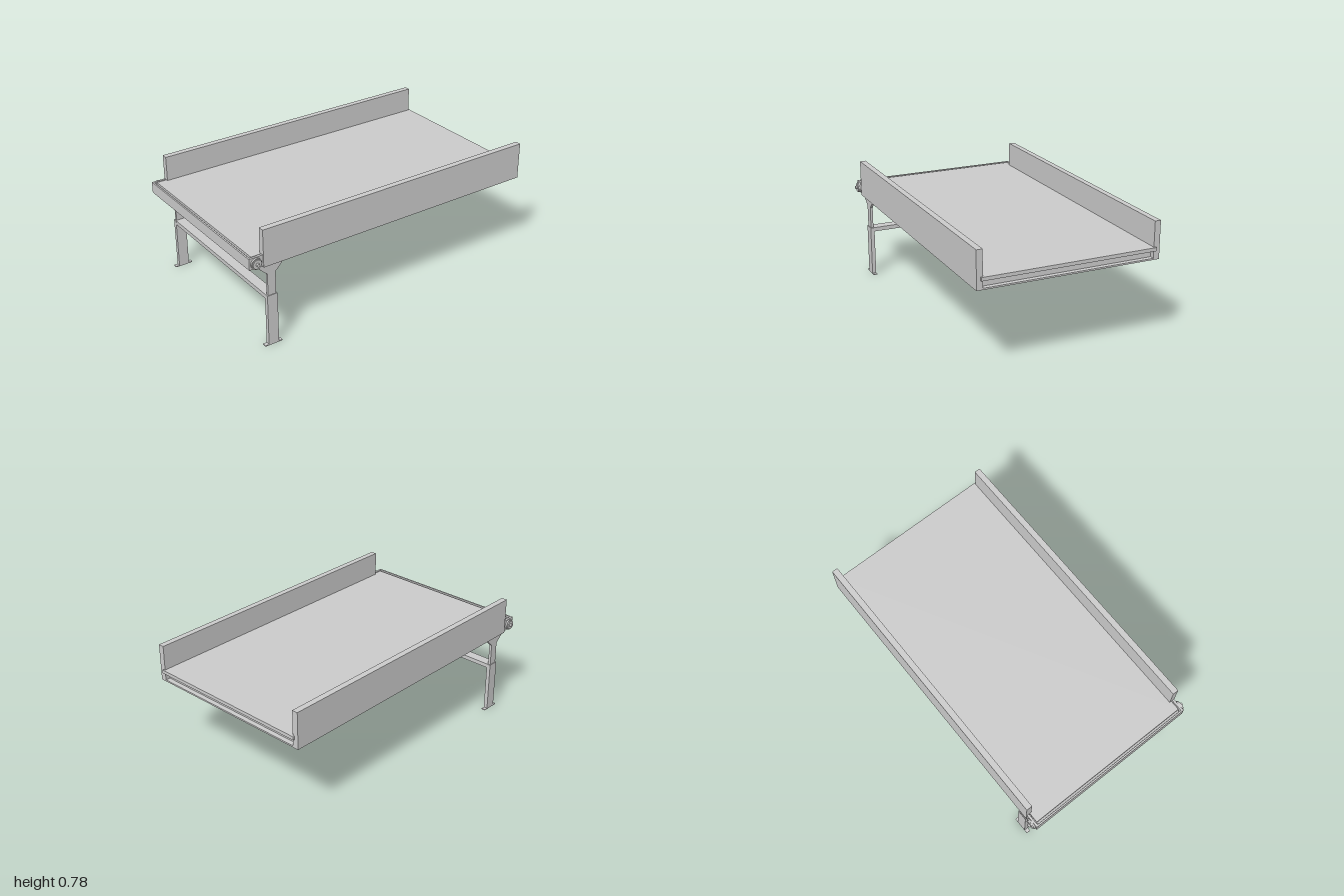
import * as THREE from 'three';

const material = new THREE.MeshStandardMaterial({ color: 0xcccccc });

// Box given by its minimum and maximum corners
function box(parent, name, x0, x1, y0, y1, z0, z1) {
  const mesh = new THREE.Mesh(new THREE.BoxGeometry(x1 - x0, y1 - y0, z1 - z0), material);
  mesh.position.set((x0 + x1) / 2, (y0 + y1) / 2, (z0 + z1) / 2);
  mesh.name = name;
  parent.add(mesh);
  return mesh;
}

// Cylinder lying along z
function disc(parent, name, x, y, z0, z1, radius) {
  const geometry = new THREE.CylinderGeometry(radius, radius, z1 - z0, 32);
  geometry.rotateX(Math.PI / 2);
  const mesh = new THREE.Mesh(geometry, material);
  mesh.position.set(x, y, (z0 + z1) / 2);
  mesh.name = name;
  parent.add(mesh);
}

// Outline in x and y, extruded along z
function plate(parent, name, points, z0, z1) {
  const shape = new THREE.Shape(points.map(([x, y]) => new THREE.Vector2(x, y)));
  const geometry = new THREE.ExtrudeGeometry(shape, { depth: z1 - z0, bevelEnabled: false });
  geometry.translate(0, 0, z0);
  const mesh = new THREE.Mesh(geometry, material);
  mesh.name = name;
  parent.add(mesh);
}

export function createModel() {
  const model = new THREE.Group();
  model.name = 'conveyorSection';

  // Bed: top sheet, recessed core and bottom sheet
  const bed = new THREE.Group();
  bed.name = 'bed';
  model.add(bed);
  box(bed, 'bedTop', -0.975, 1, 0.6, 0.622, -0.55, 0.55);
  box(bed, 'bedCore', -0.92, 0.96, 0.555, 0.6, -0.54, 0.54);
  box(bed, 'bedBottom', -0.92, 0.99, 0.545, 0.555, -0.55, 0.55);

  // End plate and roller behind it
  box(model, 'endPlate', -1, -0.99, 0.553, 0.624, -0.57, 0.57);
  disc(model, 'endRoller', -0.957, 0.586, -0.55, 0.55, 0.028);

  // Cross beam between the legs
  box(model, 'crossBeam', -0.878, -0.812, 0.306, 0.333, -0.53, 0.53);

  const cx = -0.845;
  for (const s of [1, -1]) {
    const side = new THREE.Group();
    side.name = s > 0 ? 'frontSide' : 'backSide';
    const span = (a, b) => (s > 0 ? [a, b] : [-b, -a]);
    model.add(side);

    // Side rail
    box(side, 'sideRail', -0.91, 0.99, 0.545, 0.78, ...span(0.537, 0.575));

    // Bearing bracket, hub and axle
    box(side, 'bearingBracket', -1, -0.9, 0.553, 0.624, ...span(0.556, 0.57));
    disc(side, 'bearingFlange', -0.957, 0.586, ...span(0.565, 0.581), 0.034);
    disc(side, 'bearingHub', -0.957, 0.586, ...span(0.575, 0.588), 0.028);
    disc(side, 'axle', -0.957, 0.586, ...span(0.575, 0.6), 0.01);

    // Upper leg flaring into its mounting head
    plate(side, 'upperLeg', [
      [cx - 0.027, 0.32], [cx + 0.027, 0.32], [cx + 0.027, 0.475], [cx + 0.07, 0.518],
      [cx + 0.07, 0.545], [cx - 0.075, 0.545], [cx - 0.075, 0.518], [cx - 0.027, 0.475],
    ], ...span(0.53, 0.547));

    // Lower leg sleeve and foot
    box(side, 'lowerLeg', cx - 0.034, cx + 0.034, 0, 0.333, ...span(0.525, 0.551));
    box(side, 'foot', cx - 0.058, cx + 0.058, 0, 0.006, ...span(0.525, 0.551));
  }
  return model;
}
